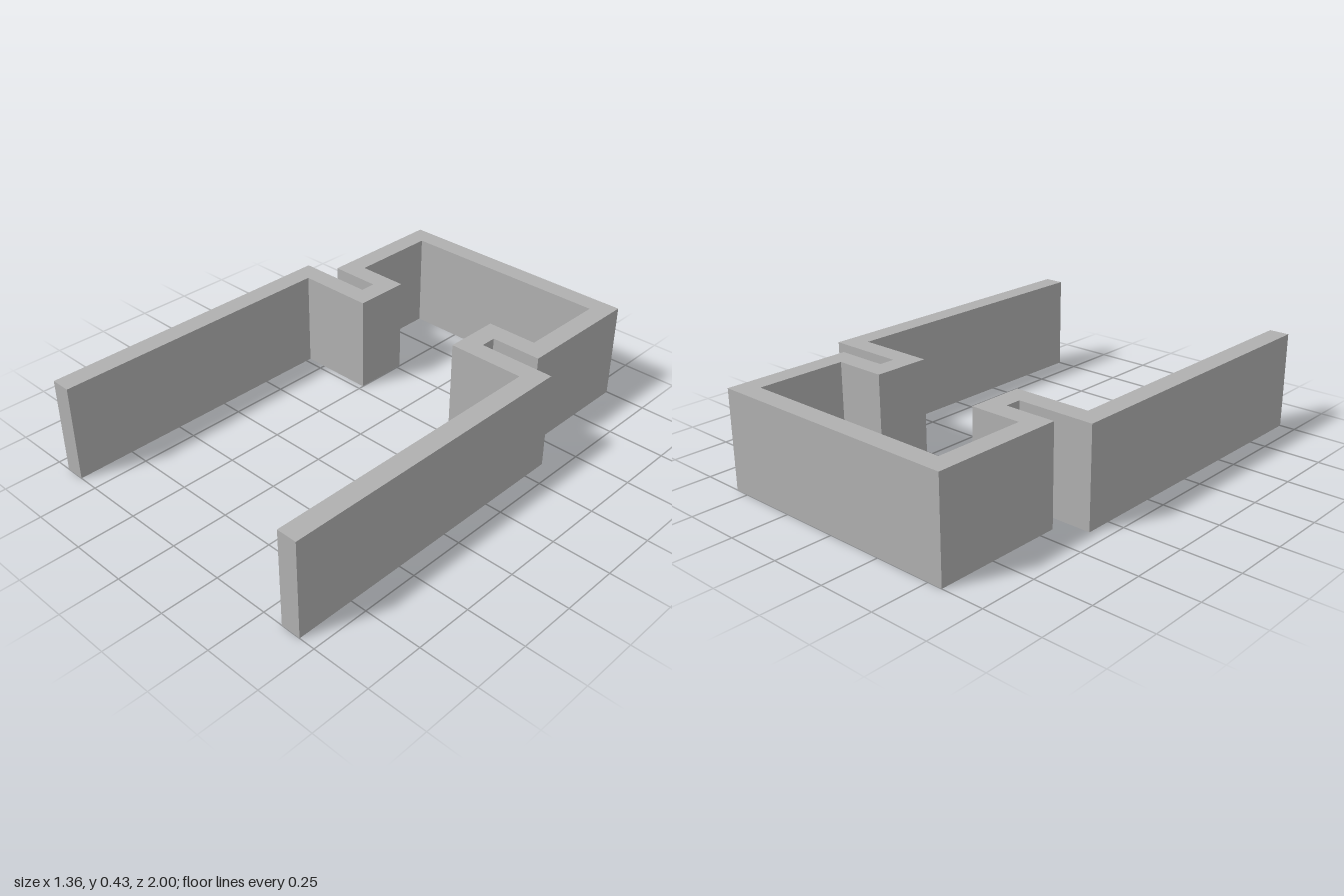
import * as THREE from 'three';

const HEIGHT = 0.425;

// Right half of the wall section as [x, z], front to back
const OUTER = [[0.68, 1], [0.68, -0.362], [0.34, -0.362], [0.34, -0.432], [0.565, -0.432], [0.565, -1]];
const INNER = [[0.592, 1], [0.592, -0.275], [0.252, -0.275], [0.252, -0.52], [0.478, -0.52], [0.478, -0.914]];

const mirror = (points) => points.map(([x, z]) => [-x, z]).reverse();

export function createModel() {
  const group = new THREE.Group();
  group.name = 'clipChannel';
  const grey = new THREE.MeshStandardMaterial({ color: 0xb0b0b0 });
  grey.name = 'grey';

  // Closed outline: around the outside, then back along the inside
  const inside = [...INNER, ...mirror(INNER)].reverse();
  const outline = [...OUTER, ...mirror(OUTER), ...inside];
  const shape = new THREE.Shape(outline.map(([x, z]) => new THREE.Vector2(x, -z)));

  // Folded wall extruded upward from the ground
  const geometry = new THREE.ExtrudeGeometry(shape, { depth: HEIGHT, bevelEnabled: false });
  geometry.rotateX(-Math.PI / 2);
  const wall = new THREE.Mesh(geometry, grey);
  wall.name = 'foldedWall';
  group.add(wall);
  return group;
}
